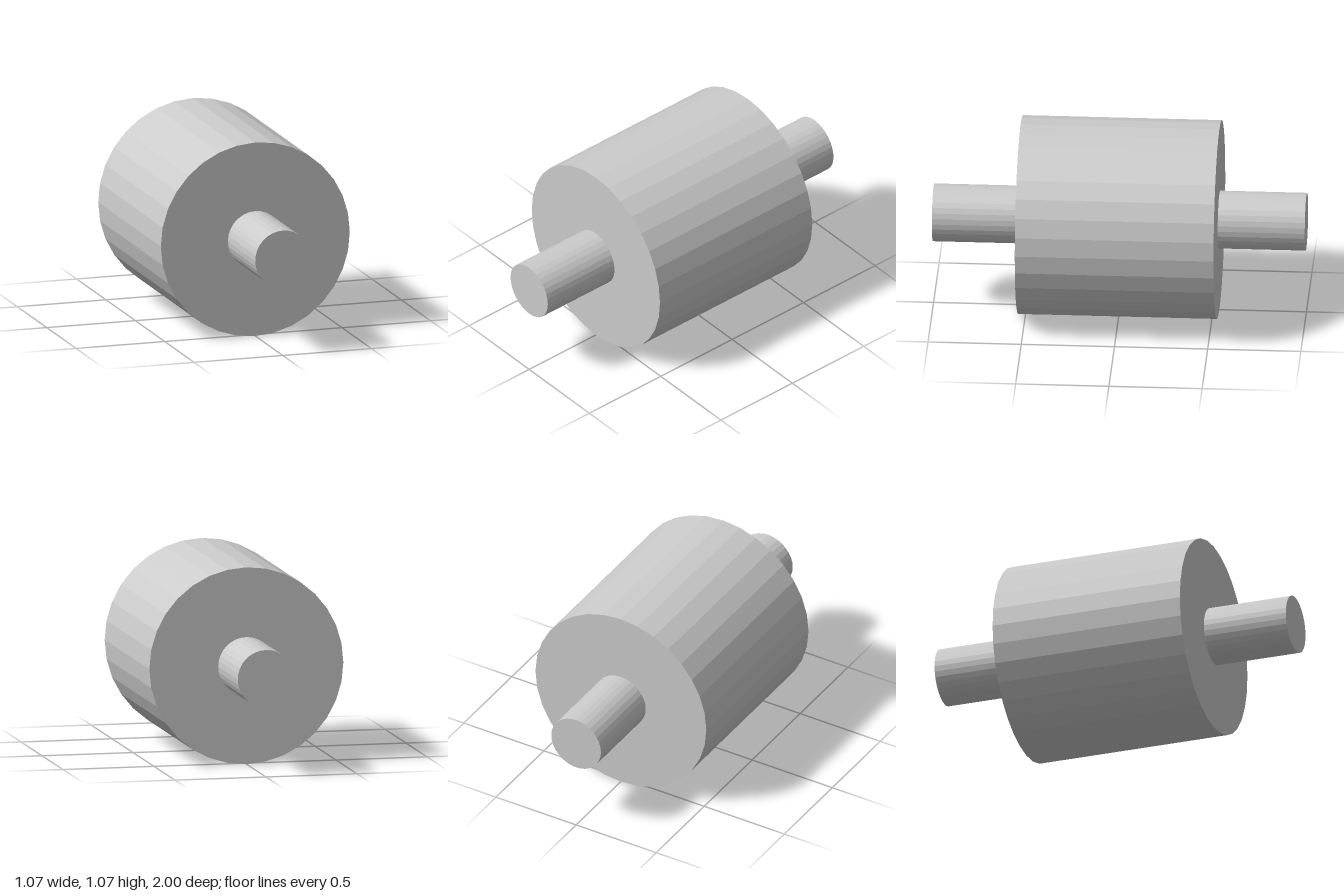
import * as THREE from 'three';

const RADIUS = 0.533;        // drum radius, also the height of the axis
const SHAFT_RADIUS = 0.155;
const SIDES = 32;

export function createModel() {
  const group = new THREE.Group();
  group.name = 'roller';
  const material = new THREE.MeshStandardMaterial({ color: 0xcccccc, flatShading: true });

  // Cylinder lying along z, centred at the given z
  const addCylinder = (name, radius, length, z) => {
    const geometry = new THREE.CylinderGeometry(radius, radius, length, SIDES);
    geometry.rotateX(Math.PI / 2);
    const mesh = new THREE.Mesh(geometry, material);
    mesh.name = name;
    mesh.position.set(0, RADIUS, z);
    group.add(mesh);
  };

  // Main drum
  addCylinder('drum', RADIUS, 2 * RADIUS, 0);

  // Stub shafts running from the drum faces out to each end
  const stub = 1 - RADIUS;
  for (const [name, side] of [['frontShaft', 1], ['backShaft', -1]]) {
    addCylinder(name, SHAFT_RADIUS, stub, side * (RADIUS + stub / 2));
  }

  return group;
}
